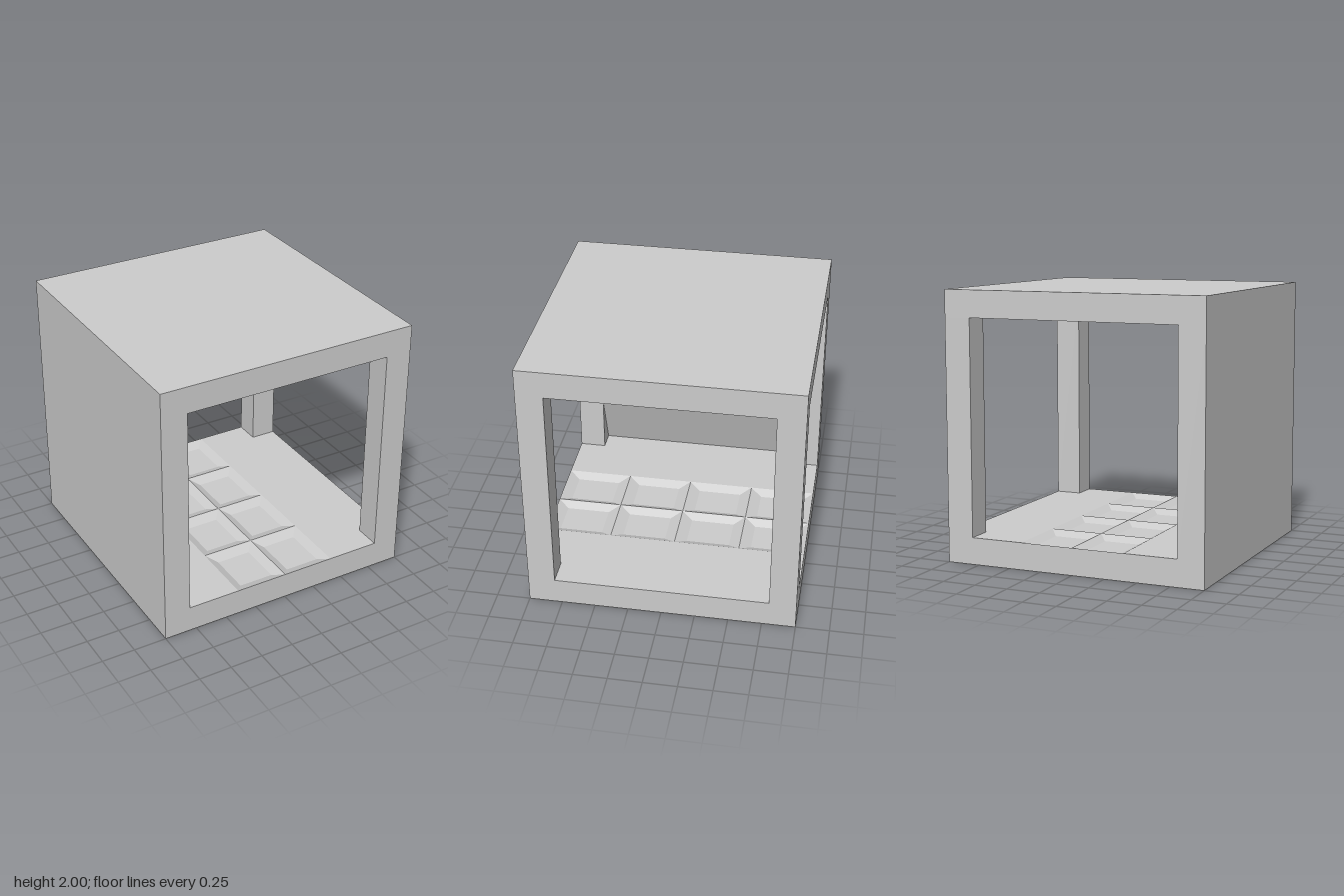
import * as THREE from 'three';

export function createModel() {
  const model = new THREE.Group();
  const mat = new THREE.MeshStandardMaterial({ color: 0xcccccc, flatShading: true, side: THREE.DoubleSide });

  const add = (name, geometry, x = 0, y = 0, z = 0) => {
    const mesh = new THREE.Mesh(geometry, mat);
    mesh.name = name;
    mesh.position.set(x, y, z);
    model.add(mesh);
    return mesh;
  };
  const box = (name, w, h, d, x, y, z) => add(name, new THREE.BoxGeometry(w, h, d), x, y, z);
  const lathe = (points, sides, phi) =>
    new THREE.LatheGeometry(points.map(([r, y]) => new THREE.Vector2(r, y)), sides, phi);

  // Cube frame: ceiling and four corner posts
  box('ceiling', 2, 0.2, 2, 0, 1.9, 0);
  for (const x of [-0.9, 0.9])
    for (const z of [-0.9, 0.9]) box('cornerPost', 0.2, 1.6, 0.2, x, 1, z);

  // Floor slab with a 2 x 4 field of shallow bevelled pits
  const pitDepth = 0.035;
  box('floorBase', 2, 0.2 - pitDepth, 2, 0, (0.2 - pitDepth) / 2, 0);
  for (const side of [-1, 1]) {
    box('floorSide', 0.6, pitDepth, 2, side * 0.7, 0.2 - pitDepth / 2, 0);
    add('floorRim', new THREE.PlaneGeometry(0.8, pitDepth), 0, 0.2 - pitDepth / 2, side)
      .rotation.y = side < 0 ? Math.PI : 0;
  }
  const pit = lathe([[1, 0], [0.66, -pitDepth + 0.001], [0, -pitDepth + 0.001]], 4, Math.PI / 4);
  pit.scale(0.2 * Math.SQRT2, 1, 0.25 * Math.SQRT2);
  for (const x of [-0.2, 0.2])
    for (let row = 0; row < 4; row++) add('floorPit', pit, x, 0.2, -0.75 + row * 0.5);

  // Closed wall: thin panel with a wedge ledge at its foot
  const wall = new THREE.Shape([
    [-1, 0.2], [-0.955, 0.2], [-0.8, 0.64], [-0.955, 1], [-0.955, 1.8], [-1, 1.8],
  ].map(([x, y]) => new THREE.Vector2(x, y)));
  add('ledgeWall', new THREE.ExtrudeGeometry(wall, { depth: 1.6, bevelEnabled: false }), 0, 0, -0.8);

  // Six-sided upright crystal; flat = half width of the front facet
  const upright = (name, points, half, flat, depth, x, z) => {
    const g = lathe(points, 6, Math.PI / 6);
    const p = g.attributes.position;
    for (let i = 0; i < p.count; i++) {
      const u = p.getX(i);
      const r = Math.hypot(u, p.getZ(i));
      const corner = Math.abs(u) > 0.75 * r;
      p.setX(i, u * (corner ? half : flat * 2));
      p.setZ(i, p.getZ(i) / Math.sin(Math.PI / 3) * depth);
    }
    g.rotateY(Math.PI / 2);
    add(name, g, x, 0, z);
  };

  // Flat-ended blocks
  const block = (y0, y1, z) =>
    upright('blockCrystal', [[0, y0], [1, y0], [1, y1], [0, y1]], 0.16, 0.053, 0.119, -0.88, z);
  block(1.54, 1.82, 0);
  for (const z of [-0.535, 0.535]) block(1.27, 1.535, z);

  // Pointed pendant and wide gem in the middle
  upright('pendantCrystal', [[0, 0.82], [1, 1], [1, 1.27], [0, 1.27]], 0.155, 0.045, 0.119, -0.88, 0);
  upright('centreGem', [[0, 1.315], [1, 1.36], [1, 1.445], [0, 1.49]], 0.18, 0.09, 0.11, -0.88, 0);

  // Four double-pointed crystals lying along z
  const r = 0.09 / Math.cos(Math.PI / 8);
  const gem = lathe([[0, -0.177], [r, -0.088], [r, 0.088], [0, 0.177]], 8, Math.PI / 8);
  gem.rotateX(Math.PI / 2);
  for (const y of [1.135, 1.67])
    for (const z of [-0.535, 0.535]) add('doublePointedCrystal', gem, -0.86, y, z);

  return model;
}
